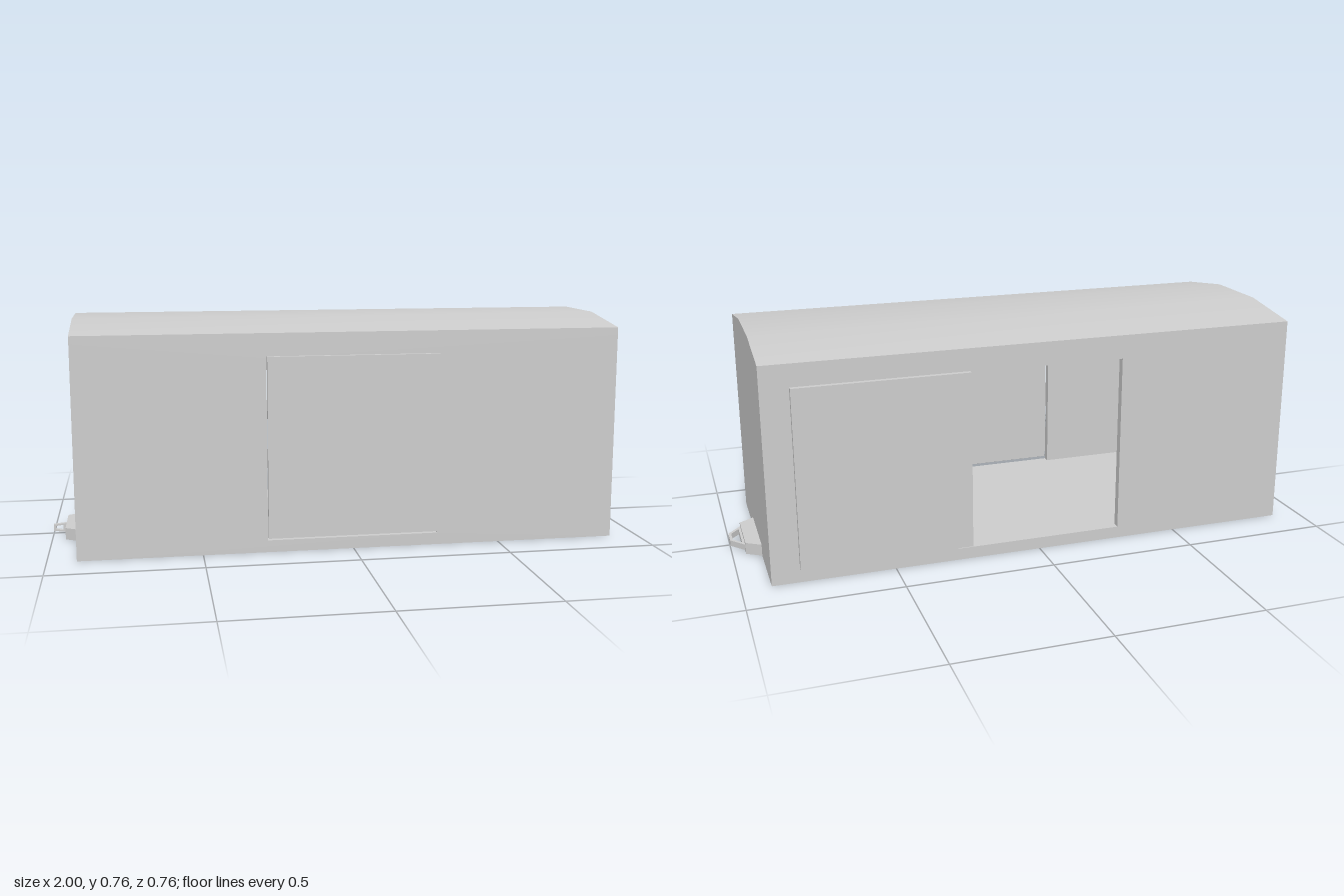
import * as THREE from 'three';
import { toCreasedNormals } from 'three/addons/utils/BufferGeometryUtils.js';

const L = 0.905, W = 0.362, T = 0.025, EAVE = 0.7, FLOOR = 0.04;

export function createModel() {
  const model = new THREE.Group();
  const material = new THREE.MeshStandardMaterial({ color: 0xcccccc });

  const add = (name, geometry, x = 0, y = 0, z = 0) => {
    const mesh = new THREE.Mesh(geometry, material);
    mesh.name = name;
    mesh.position.set(x, y, z);
    model.add(mesh);
    return mesh;
  };
  const outline = (points) => points.map(([x, y]) => new THREE.Vector2(x, y));
  const extrude = (points, depth, hole) => {
    const shape = new THREE.Shape(outline(points));
    if (hole) shape.holes.push(new THREE.Path(outline(hole)));
    return new THREE.ExtrudeGeometry(shape, { depth, bevelEnabled: false });
  };
  const rect = (x0, y0, x1, y1) => [[x0, y0], [x1, y0], [x1, y1], [x0, y1]];

  // Roof slab with a shallow three-facet curve, shaded smooth across the facets
  const roof = extrude([
    [-W, EAVE], [-W + T, EAVE], [-0.12, 0.735], [0.12, 0.735], [W - T, EAVE], [W, EAVE],
    [W, 0.725], [0.125, 0.76], [-0.125, 0.76], [-W, 0.725],
  ], 2 * L).rotateY(Math.PI / 2);
  add('roof', toCreasedNormals(roof, 0.3), -L);

  // Floor
  add('floor', new THREE.BoxGeometry(2 * (L - T), FLOOR, 2 * (W - T)), 0, FLOOR / 2);

  // Side walls with a doorway in each
  for (const [name, z] of [['frontWall', W - T], ['backWall', -W]]) {
    add(name, extrude(rect(-L, 0, L, EAVE), T, rect(-0.287, FLOOR, 0.287, 0.645)), 0, 0, z);
  }

  // End walls, rising into the curve of the roof
  const end = extrude([
    [-W + T, 0], [W - T, 0], [W - T, EAVE], [0.12, 0.735], [-0.12, 0.735], [-W + T, EAVE],
  ], T).rotateY(Math.PI / 2);
  add('rightEndWall', end, -L);
  add('leftEndWall', end, L - T);

  // Sliding doors: the front one shut, the back one slid open
  const door = new THREE.BoxGeometry(0.572, 0.6, 0.017);
  add('frontDoor', door, 0, 0.35, W + 0.0085);
  add('backDoor', door, 0.527, 0.35, -W - 0.0085);

  // Tapered coupling blocks at both ends
  for (const side of [1, -1]) {
    const block = extrude([[0, -0.122], [0.05, -0.09], [0.05, 0.09], [0, 0.122]], 0.04)
      .rotateX(-Math.PI / 2);
    const mesh = add(side > 0 ? 'leftCouplingBlock' : 'rightCouplingBlock', block, side * L);
    if (side < 0) mesh.rotation.y = Math.PI;
  }

  // Flat coupling loop
  const loop = extrude(
    [[0, -0.082], [0.045, -0.03], [0.045, 0.03], [0, 0.082]], 0.02,
    [[0.008, -0.058], [0.036, -0.025], [0.036, 0.025], [0.008, 0.058]],
  ).rotateX(-Math.PI / 2);
  add('couplingLoop', loop, 0.955, 0.01);

  // Upright coupling eye
  const eye = extrude(
    [[-0.045, 0.01], [0, 0.004], [0, 0.036], [-0.045, 0.032]], 0.016,
    [[-0.037, 0.015], [-0.012, 0.011], [-0.012, 0.03], [-0.037, 0.027]],
  );
  add('couplingEye', eye, -0.955, 0, -0.008);

  return model;
}
